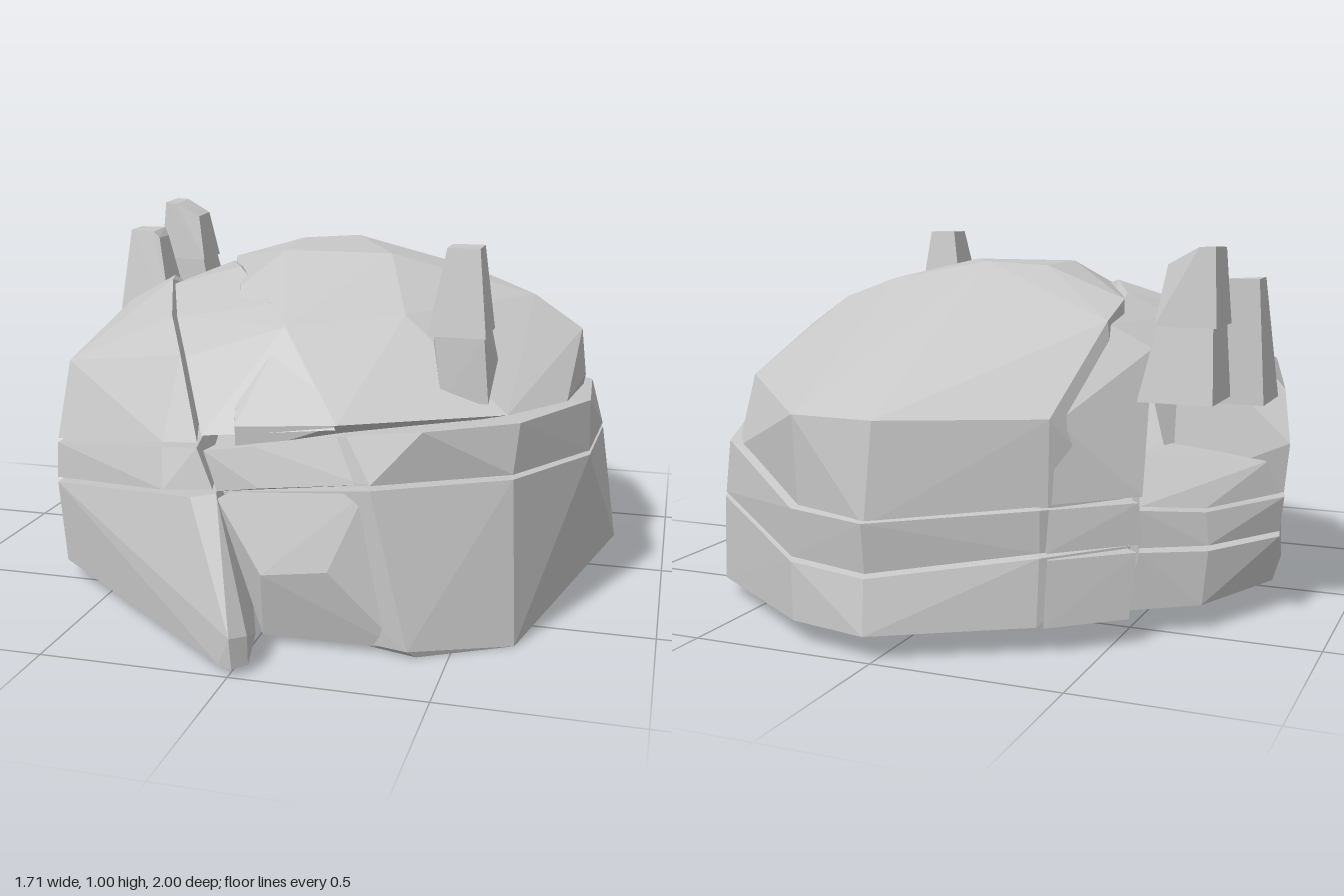
import * as THREE from 'three';
import { ConvexGeometry } from 'three/addons/geometries/ConvexGeometry.js';

export function createModel() {
  const model = new THREE.Group();
  model.name = 'boulder';
  const stone = new THREE.MeshStandardMaterial({ color: 0xc7c7c7 });
  stone.name = 'grey stone';

  // A faceted chunk of rock around a few corner points
  function chunk(name, corners) {
    const geometry = new ConvexGeometry(corners.map(p => new THREE.Vector3(...p)));
    const mesh = new THREE.Mesh(geometry, stone);
    mesh.name = name;
    model.add(mesh);
  }

  // Foot of a layer: the top ring of the one below, raised to leave a thin seam
  const lift = (ring, dy) => ring.map(([x, y, z]) => [x * 0.998, y + dy, z * 0.995]);

  // Main mass: base slab, middle band and dome
  const baseTop = [
    [0.30, 0.43, 0.78], [0.63, 0.435, 0.61], [0.795, 0.42, 0.28], [0.80, 0.375, -0.2],
    [0.66, 0.28, -0.63], [0.26, 0.21, -0.93], [0.03, 0.20, -0.97], [-0.35, 0.24, -0.77],
    [-0.52, 0.24, -0.57], [-0.11, 0.37, 0.7],
  ];
  chunk('baseSlab', [
    ...baseTop,
    [0.42, 0.0, 0.77], [0.65, 0.0, 0.64], [0.855, 0.07, -0.08], [0.66, 0.045, -0.64],
    [0.25, 0.06, -0.94], [0.02, 0.065, -1.0], [-0.35, 0.07, -0.79], [0.4, 0.02, 0.79],
    [0.01, 0.02, 0.7], [-0.51, 0.08, -0.58],
  ]);
  const bandTop = [
    [0.23, 0.555, 0.74], [0.42, 0.575, 0.73], [0.64, 0.575, 0.58], [0.79, 0.57, 0.27],
    [0.755, 0.5, -0.3], [0.645, 0.44, -0.62], [0.25, 0.35, -0.94], [0.03, 0.34, -0.98],
    [-0.35, 0.36, -0.77], [-0.52, 0.35, -0.56], [-0.14, 0.48, 0.68],
  ];
  chunk('middleBand', [...lift(baseTop, 0.012), ...bandTop]);
  chunk('dome', [
    // crown
    [0.02, 0.935, -0.23], [-0.12, 0.925, 0.1], [0.2, 0.925, 0.1], [-0.15, 0.925, -0.2],
    [0.4, 0.87, -0.08], [0.6, 0.805, -0.02], [0.74, 0.715, 0.0], [0.0, 0.775, 0.5],
    [0.3, 0.80, 0.38], [-0.2, 0.84, 0.28], [-0.41, 0.845, -0.3], [-0.42, 0.80, -0.47],
    // shoulders
    [0.25, 0.585, -0.925], [0.02, 0.585, -0.935], [0.69, 0.6, -0.42], [0.755, 0.58, 0.0],
    [0.73, 0.57, 0.3], [0.6, 0.58, 0.53], [0.2, 0.575, 0.725], [-0.06, 0.56, 0.745],
    [-0.36, 0.58, -0.73],
    // foot
    [0.24, 0.34, -0.92], [0.03, 0.33, -0.965], [0.63, 0.42, -0.6], [0.73, 0.48, -0.25],
    [-0.36, 0.34, -0.74], [-0.5, 0.35, -0.57], [-0.06, 0.48, 0.74],
  ]);

  // Strip of stone running down the front between the two seams
  chunk('frontStripLower', [
    [-0.1, 0.375, 0.775], [0.285, 0.42, 0.765], [0.02, 0.02, 0.78], [0.385, 0.015, 0.765],
    [0.03, 0.2, 0.825], [0.2, 0.22, 0.815], [0, 0.04, 0], [0, 0.34, 0],
  ]);
  chunk('frontStripBand', [
    [-0.1, 0.395, 0.775], [0.28, 0.44, 0.765], [-0.14, 0.495, 0.76], [0.21, 0.55, 0.735],
    [0.02, 0.42, 0.80], [0.0, 0.52, 0.775], [0, 0.4, 0], [0, 0.5, 0],
  ]);

  // The strip crossing the top between dome and shoulder, then down the back
  chunk('topStrip', [
    [-0.47, 0.81, 0.1], [-0.35, 0.765, 0.39], [-0.26, 0.69, 0.56], [-0.15, 0.53, 0.745],
    [-0.26, 0.87, 0.1], [-0.07, 0.815, 0.4], [0.0, 0.775, 0.51], [0.2, 0.565, 0.73],
    [-0.42, 0.79, -0.45], [-0.53, 0.73, -0.43], [-0.5, 0.79, -0.15], [-0.37, 0.85, -0.15],
    [-0.3, 0.5, 0.1], [0.0, 0.54, 0.6],
  ]);
  chunk('backStripUpper', [
    [-0.42, 0.79, -0.45], [-0.53, 0.73, -0.43], [-0.37, 0.57, -0.7], [-0.37, 0.37, -0.74],
    [-0.55, 0.37, -0.57], [-0.3, 0.4, -0.2], [-0.45, 0.75, -0.2],
  ]);
  chunk('backStripBand', [
    [-0.37, 0.255, -0.775], [-0.56, 0.255, -0.6], [-0.37, 0.36, -0.755], [-0.55, 0.36, -0.6],
    [-0.1, 0.25, -0.2], [-0.1, 0.36, -0.2],
  ]);
  chunk('backStripLower', [
    [-0.37, 0.07, -0.79], [-0.54, 0.07, -0.64], [-0.37, 0.235, -0.765], [-0.55, 0.235, -0.61],
    [-0.1, 0.1, -0.2], [-0.1, 0.22, -0.2],
  ]);

  // Side mass: base with a pointed toe, band, shoulder and rear ledge
  chunk('sideBase', [
    [-0.81, 0.08, -0.2], [-0.775, 0.07, 0.1], [-0.67, 0.05, 0.49], [-0.03, 0.02, 0.98],
    [0.01, 0.02, 0.998], [0.04, 0.02, 0.96], [0.0, 0.02, 0.78], [-0.51, 0.07, -0.58],
    [-0.68, 0.07, -0.46], [0.005, 0.1, 1.0], [0.035, 0.09, 0.95],
    [-0.83, 0.21, -0.22], [-0.69, 0.285, 0.49], [-0.16, 0.385, 0.81],
    [-0.1, 0.39, 0.78], [-0.69, 0.21, -0.44], [-0.54, 0.22, -0.56],
  ]);
  const sideBandTop = [
    [-0.84, 0.32, -0.22], [-0.69, 0.4, 0.48], [-0.27, 0.485, 0.72], [-0.16, 0.5, 0.755],
    [-0.68, 0.31, -0.43], [-0.54, 0.33, -0.56],
  ];
  chunk('sideBand', [
    ...sideBandTop,
    [-0.83, 0.225, -0.22], [-0.69, 0.3, 0.49], [-0.25, 0.385, 0.77], [-0.11, 0.4, 0.78],
    [-0.69, 0.225, -0.44], [-0.54, 0.235, -0.57],
  ]);
  chunk('sideShoulder', [
    ...lift(sideBandTop.slice(0, 4), 0.012),
    [-0.855, 0.47, -0.24], [-0.83, 0.61, -0.2], [-0.69, 0.62, 0.38], [-0.7, 0.72, -0.1],
    [-0.55, 0.805, -0.1], [-0.485, 0.82, 0.08], [-0.365, 0.77, 0.39], [-0.275, 0.695, 0.56],
    [-0.55, 0.75, -0.24], [-0.55, 0.34, -0.3],
  ]);
  chunk('rearLedge', [
    ...lift(sideBandTop.slice(4), 0.01), [-0.83, 0.33, -0.22],
    [-0.8, 0.42, -0.24], [-0.55, 0.46, -0.3], [-0.5, 0.46, -0.45], [-0.4, 0.34, -0.3],
  ]);

  // Standing stones: four-sided stacks, each level [y, x0, x1, z0, z1]
  const level = ([y, x0, x1, z0, z1]) => [[x0, y, z0], [x1, y, z0], [x1, y, z1], [x0, y, z1]];
  const block = (name, low, high) => chunk(name, [...level(low), ...level(high)]);

  block('frontSpikeTop', [0.775, 0.39, 0.54, 0.375, 0.535], [0.998, 0.43, 0.515, 0.41, 0.495]);
  chunk('frontSpikeFoot', [
    ...level([0.775, 0.405, 0.535, 0.39, 0.525]),
    [0.38, 0.71, 0.38], [0.55, 0.69, 0.37], [0.55, 0.605, 0.53], [0.43, 0.605, 0.535],
  ]);
  chunk('tallSpikeTop', [
    ...level([0.805, -0.74, -0.585, -0.61, -0.455]),
    [-0.73, 1.0, -0.59], [-0.69, 0.998, -0.59], [-0.61, 0.955, -0.58],
    [-0.73, 0.995, -0.48], [-0.69, 0.99, -0.48], [-0.61, 0.95, -0.48],
  ]);
  block('tallSpikeFoot', [0.62, -0.74, -0.55, -0.63, -0.45], [0.805, -0.73, -0.59, -0.6, -0.46]);
  chunk('shortSpike', [
    ...level([0.6, -0.825, -0.635, -0.45, -0.27]),
    [-0.805, 0.915, -0.44], [-0.72, 0.915, -0.44], [-0.7, 0.89, -0.42],
    [-0.8, 0.915, -0.34], [-0.72, 0.91, -0.34], [-0.7, 0.89, -0.34],
  ]);

  return model;
}
